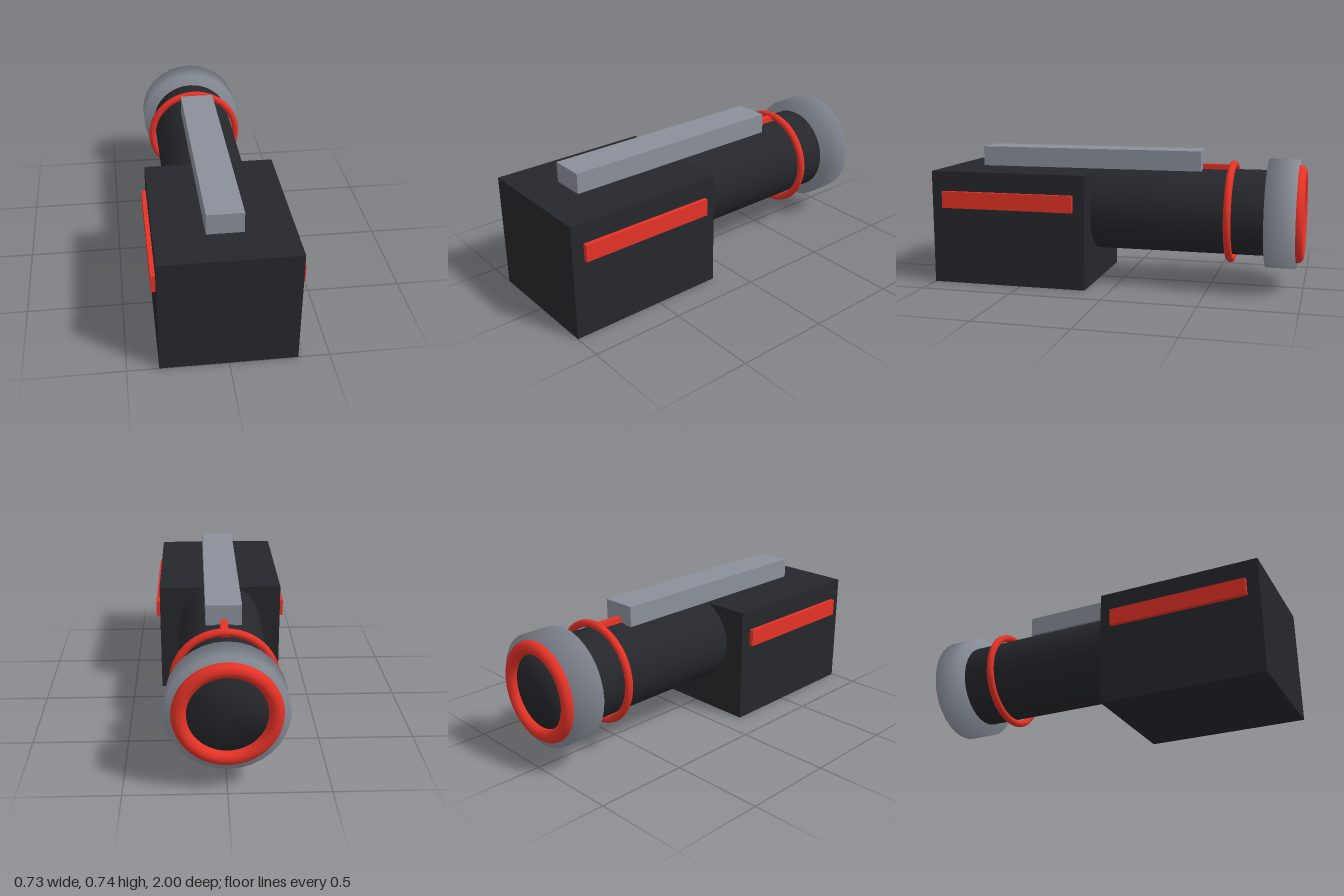
import * as THREE from 'three';

const paint = (color) => new THREE.MeshStandardMaterial({ color });

export function createModel() {
  const model = new THREE.Group();
  const dark = paint(0x26272c);
  const grey = paint(0x8a909b);
  const red = paint(0xe63226);
  const axisY = 0.405; // height of the barrel axis

  function add(name, geometry, material, x, y, z) {
    const mesh = new THREE.Mesh(geometry, material);
    mesh.name = name;
    mesh.position.set(x, y, z);
    model.add(mesh);
    return mesh;
  }

  // Box given by its limits on each axis
  function block(name, material, [x0, x1], [y0, y1], [z0, z1]) {
    const geometry = new THREE.BoxGeometry(x1 - x0, y1 - y0, z1 - z0);
    return add(name, geometry, material, (x0 + x1) / 2, (y0 + y1) / 2, (z0 + z1) / 2);
  }

  // Closed, softly shaded drum lying along z
  function drum(name, material, radius, z0, z1) {
    const h = (z1 - z0) / 2;
    const profile = [[0, -h], [radius, -h], [radius, h], [0, h]].map((p) => new THREE.Vector2(...p));
    const geometry = new THREE.LatheGeometry(profile, 32).rotateX(Math.PI / 2);
    return add(name, geometry, material, 0, axisY, (z0 + z1) / 2);
  }

  // Round hoop around the barrel axis
  const hoop = (name, radius, tube, z) =>
    add(name, new THREE.TorusGeometry(radius, tube, 16, 48), red, 0, axisY, z);

  // Body and its side strips
  block('body', dark, [-0.342, 0.342], [0, 0.62], [0.133, 1]);
  block('leftStrip', red, [0.33, 0.365], [0.421, 0.512], [0.195, 0.935]);
  block('rightStrip', red, [-0.365, -0.33], [0.421, 0.512], [0.195, 0.935]);

  // Barrel, muzzle and hoops
  drum('barrel', dark, 0.232, -0.963, 0.485);
  drum('muzzle', grey, 0.294, -0.96, -0.8);
  hoop('muzzleRing', 0.227, 0.036, -0.964);
  hoop('barrelRing', 0.257, 0.02, -0.61);

  // Top rail and the small sight in front of it
  block('topRail', grey, [-0.092, 0.092], [0.629, 0.737], [-0.445, 0.797]);
  block('sight', red, [-0.019, 0.019], [0.61, 0.662], [-0.61, -0.4]);

  return model;
}
